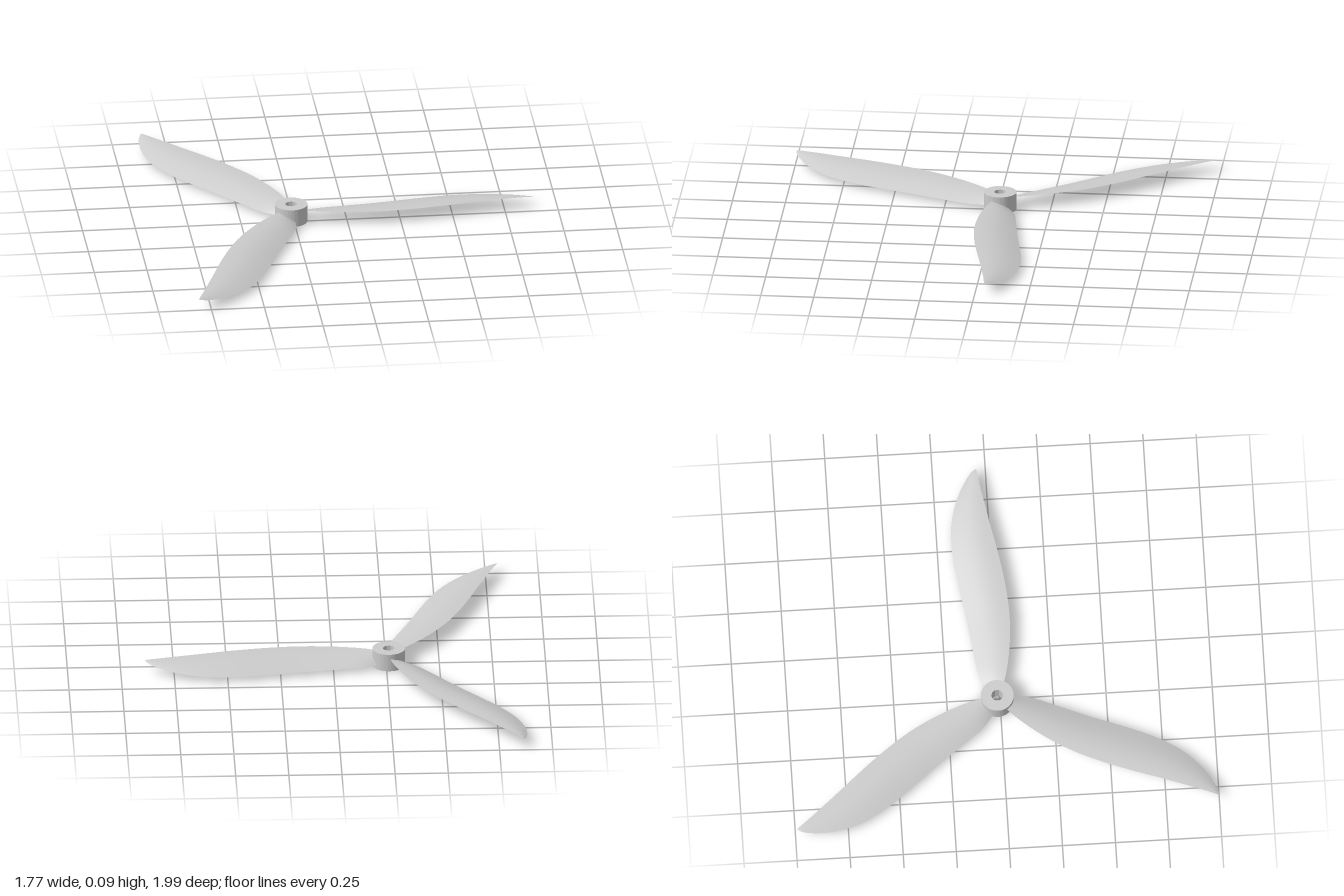
import * as THREE from 'three';
import { toCreasedNormals } from 'three/addons/utils/BufferGeometryUtils.js';

const HUB_RADIUS = 0.077, HOLE_RADIUS = 0.027, HUB_HEIGHT = 0.085;

// Blade stations: [radius, low edge z, low edge y, high edge z, high edge y]
const STATIONS = [
  [0.045, -0.045, 0.021, 0.028, 0.062],
  [0.13, -0.080, 0.021, 0.052, 0.063],
  [0.26, -0.100, 0.021, 0.074, 0.063],
  [0.42, -0.121, 0.020, 0.082, 0.063],
  [0.58, -0.147, 0.020, 0.069, 0.063],
  [0.74, -0.167, 0.021, 0.043, 0.063],
  [0.88, -0.164, 0.024, 0.015, 0.062],
  [1.00, -0.133, 0.031, -0.007, 0.060],
  [1.08, -0.094, 0.039, -0.021, 0.058],
  [1.13, -0.058, 0.047, -0.028, 0.056],
  [1.149, -0.034, 0.053, -0.031, 0.054],
];

// Cambered, twisted blade lofted along +x; the two skins meet at sharp edges
function bladeGeometry(rings = 60, n = 14) {
  const edge = (zi, yi) => new THREE.CatmullRomCurve3(
    STATIONS.map((s) => new THREE.Vector3(s[0], s[yi], s[zi])));
  const low = edge(1, 2), high = edge(3, 4);
  const pos = [], index = [], row = 2 * (n + 1);
  for (let i = 0; i <= rings; i++) {
    const a = low.getPoint(i / rings), b = high.getPoint(i / rings);
    const chord = a.distanceTo(b);
    for (const side of [1, -1]) {
      for (let k = 0; k <= n; k++) {
        const u = (1 - Math.cos(Math.PI * k / n)) / 2;
        const u2 = side > 0 ? u : 1 - u;
        const bulge = Math.max(0, Math.sin(Math.PI * u2));
        const p = a.clone().lerp(b, u2);
        p.y += chord * bulge * (0.035 + side * 0.03);
        pos.push(p.x, p.y, p.z);
      }
    }
  }
  for (let i = 0; i < rings; i++) {
    for (const start of [0, n + 1]) {
      for (let k = 0; k < n; k++) {
        const p = i * row + start + k, q = p + row;
        index.push(p, p + 1, q, p + 1, q + 1, q);
      }
    }
  }
  // Tip closure
  const t = rings * row;
  for (let k = 0; k < n; k++) {
    const up = t + k, down = t + row - 1 - k;
    index.push(up, up + 1, down, up + 1, down - 1, down);
  }
  const g = new THREE.BufferGeometry();
  g.setAttribute('position', new THREE.Float32BufferAttribute(pos, 3));
  g.setIndex(index);
  return toCreasedNormals(g, 0.7);
}

// Round hub with a through bore
function hubGeometry() {
  const shape = new THREE.Shape().absarc(0, 0, HUB_RADIUS, 0, Math.PI * 2, false);
  shape.holes.push(new THREE.Path().absarc(0, 0, HOLE_RADIUS, 0, Math.PI * 2, true));
  const g = new THREE.ExtrudeGeometry(shape, { depth: HUB_HEIGHT, bevelEnabled: false, curveSegments: 48 });
  g.rotateX(-Math.PI / 2);
  return toCreasedNormals(g, 0.7);
}

export function createModel() {
  const model = new THREE.Group();
  model.name = 'propeller';
  const material = new THREE.MeshStandardMaterial({ color: 0xcccccc });

  const hub = new THREE.Mesh(hubGeometry(), material);
  hub.name = 'hub';
  model.add(hub);

  // Three equal blades around the hub
  const geometry = bladeGeometry();
  for (let i = 0; i < 3; i++) {
    const blade = new THREE.Mesh(geometry, material);
    blade.name = `blade${i + 1}`;
    blade.rotation.y = i * Math.PI * 2 / 3;
    model.add(blade);
  }

  // Hub sits off-centre so the blades' extents are centred
  model.position.set(-0.262, 0, -0.013);
  return model;
}
